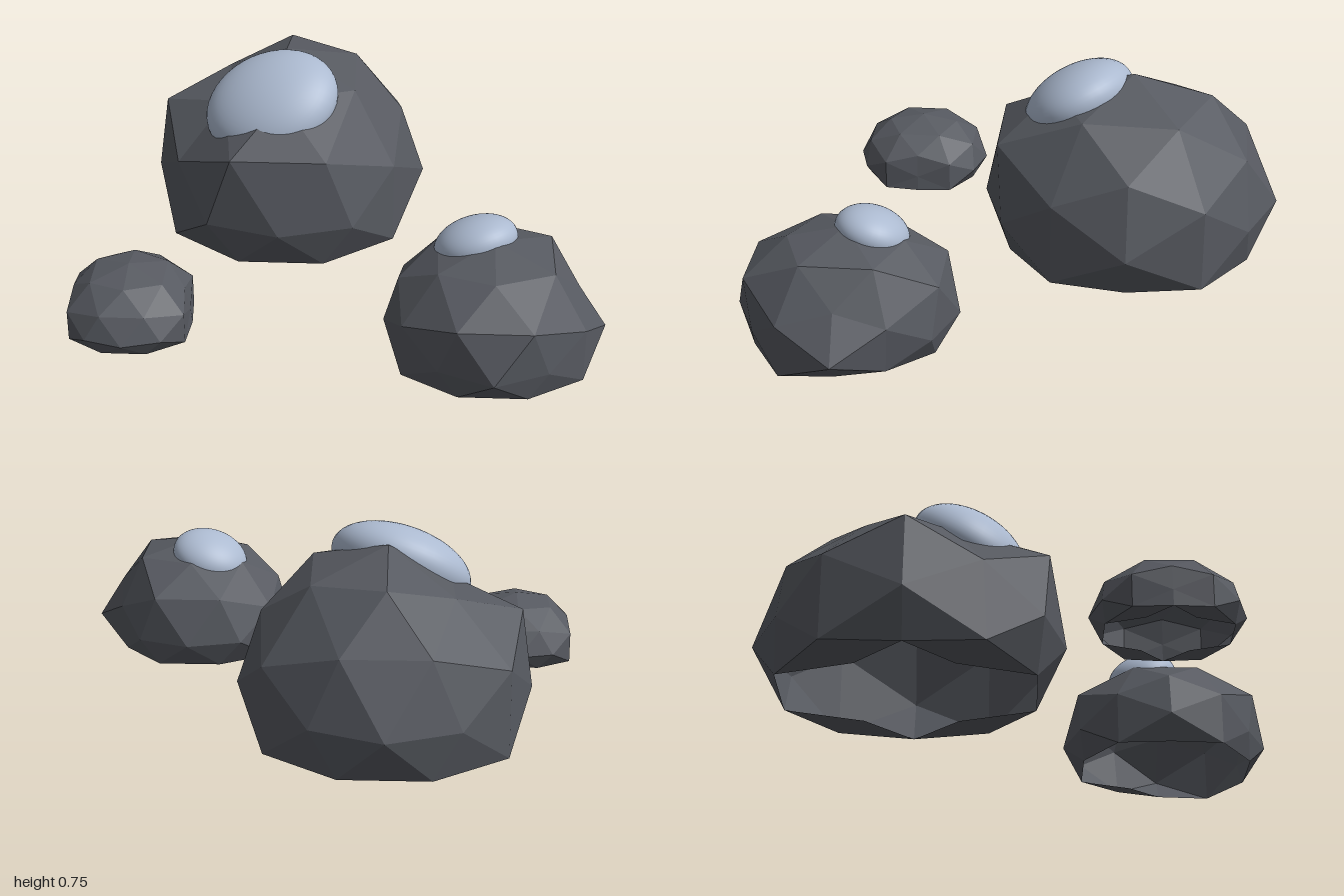
import * as THREE from 'three';

const rockGrey = new THREE.MeshStandardMaterial({ color: 0x575a61, flatShading: true, side: THREE.DoubleSide });
rockGrey.name = 'rockGrey';
const snowBlue = new THREE.MeshStandardMaterial({ color: 0xacbad0 });
snowBlue.name = 'snowBlue';

// Faceted boulder: stretched icosphere with a few dents, flattened and open on the ground.
// dents: [direction x, y, z, radius factor]
function boulder(name, centre, radii, dents) {
  const src = new THREE.IcosahedronGeometry(1, 1).rotateY(Math.PI / 2).getAttribute('position');
  const c = new THREE.Vector3(...centre), r = new THREE.Vector3(...radii);
  const out = [];
  for (let i = 0; i < src.count; i += 3) {
    const tri = [0, 1, 2].map((k) => {
      const n = new THREE.Vector3().fromBufferAttribute(src, i + k).normalize();
      const dent = dents.find(([x, y, z]) => new THREE.Vector3(x, y, z).normalize().dot(n) > 0.97);
      const p = n.multiplyScalar(dent ? dent[3] : 1).multiply(r).add(c);
      p.y = Math.max(p.y, 0);
      return p;
    });
    if (tri.every((p) => p.y === 0)) continue;
    tri.forEach((p) => out.push(p.x, p.y, p.z));
  }
  const geo = new THREE.BufferGeometry();
  geo.setAttribute('position', new THREE.Float32BufferAttribute(out, 3));
  geo.computeVertexNormals();
  const mesh = new THREE.Mesh(geo, rockGrey);
  mesh.name = name;
  return mesh;
}

// Smooth flattened snow lump, tilted to follow the rock and half sunk into it
function snowCap(name, centre, radii, tiltX, tiltZ) {
  const mesh = new THREE.Mesh(new THREE.SphereGeometry(1, 40, 28).scale(...radii), snowBlue);
  mesh.name = name;
  mesh.position.set(...centre);
  mesh.rotation.set(tiltX, 0, tiltZ, 'ZXY');
  return mesh;
}

export function createModel() {
  const group = new THREE.Group();
  group.name = 'snowyBoulders';

  const large = boulder('largeBoulder', [-0.24, 0.18, -0.415], [0.54, 0.53, 0.58], [
    [-0.5, 0.81, -0.31, 0.89],
    [-0.5, 0.81, 0.31, 0.86],
    [-0.85, 0.53, 0, 1.06],
    [-0.81, 0.31, 0.5, 0.95],
    [0.5, 0.81, 0.31, 1.03],
    [0.31, 0.5, 0.81, 1.1],
    [-0.31, 0.5, 0.81, 1.1],
    [0.31, 0.5, -0.81, 0.95],
    [-0.31, 0.5, -0.81, 0.96],
    [0.53, 0, -0.85, 0.94],
    [-0.53, 0, -0.85, 0.94],
    [1, 0, 0, 1.02],
    [-1, 0, 0, 0.98],
  ]);
  const medium = boulder('mediumBoulder', [0.57, 0.1, 0.585], [0.4, 0.34, 0.41], [
    [1, 0, 0, 1.03],
    [-1, 0, 0, 0.98],
    [0.53, 0, 0.85, 0.92],
    [-0.53, 0, 0.85, 0.93],
    [0.31, 0.5, 0.81, 1.07],
    [-0.31, 0.5, 0.81, 1.07],
    [0.31, 0.5, -0.81, 1.06],
    [-0.31, 0.5, -0.81, 1.06],
    [0.81, 0.31, -0.5, 0.9],
    [0.81, -0.31, -0.5, 0.85],
    [0.85, -0.53, 0, 0.9],
    [0.53, 0, -0.85, 0.95],
    [0.85, 0.53, 0, 0.91],
    [0.5, 0.81, 0.31, 1.05],
    [0.5, 0.81, -0.31, 1.05],
  ]);
  const small = boulder('smallBoulder', [-0.76, 0.06, 0.49], [0.265, 0.19, 0.27], [
    [1, 0, 0, 0.83],
    [-1, 0, 0, 0.84],
    [-0.85, 0.53, 0, 0.93],
    [0.85, 0.53, 0, 0.9],
  ]);

  group.add(
    large, medium, small,
    snowCap('largeSnowCap', [-0.285, 0.57, -0.2], [0.27, 0.14, 0.23], 0.52, 0.35),
    snowCap('mediumSnowCap', [0.505, 0.385, 0.5], [0.155, 0.095, 0.14], -0.3, 0.33),
  );
  return group;
}
